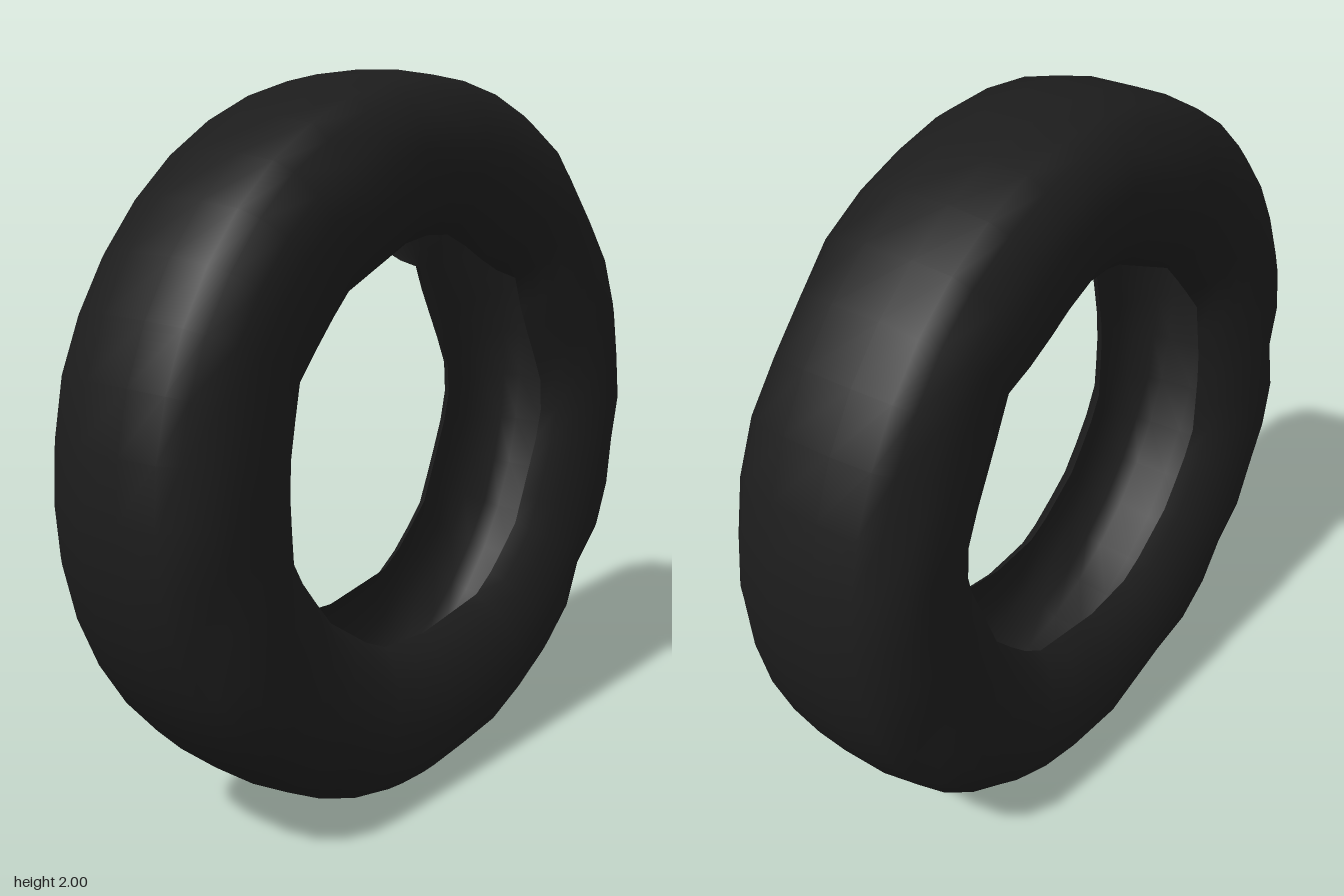
import * as THREE from 'three';
import { toCreasedNormals } from 'three/addons/utils/BufferGeometryUtils.js';

const SEGMENTS = 40;

// Uneven opening of the tyre, counter-clockwise around its axle
const OPENING = [
  [0.58, 0.02], [0.57, 0.10], [0.46, 0.31], [0.42, 0.42], [0.30, 0.46], [0.11, 0.57],
  [-0.05, 0.58], [-0.35, 0.45], [-0.43, 0.35], [-0.51, 0.28], [-0.55, 0.05], [-0.54, -0.20],
  [-0.40, -0.39], [-0.20, -0.53], [0, -0.545], [0.28, -0.50], [0.45, -0.34], [0.57, -0.05],
];

// Half cross-section from lip to tread: [share of the way from opening to tread, z]
const HALF = [
  [0, 0.175], [0.07, 0.212], [0.20, 0.247], [0.40, 0.27], [0.57, 0.272],
  [0.74, 0.262], [0.89, 0.22], [0.96, 0.175], [1, 0.07],
];

// Distance from the axle to the opening's edge in a given direction
function openingRadius(angle) {
  const dx = Math.cos(angle), dy = Math.sin(angle);
  for (let i = 0; i < OPENING.length; i++) {
    const [ax, ay] = OPENING[i];
    const [bx, by] = OPENING[(i + 1) % OPENING.length];
    const a = dx * ay - dy * ax, b = dx * by - dy * bx;
    if (a <= 0 && b > 0 && dx * ax + dy * ay > 0) {
      const t = a / (a - b);
      return Math.hypot(ax + (bx - ax) * t, ay + (by - ay) * t);
    }
  }
  return 0.57;
}

// Shallow dents worn into the shoulders
function dent(angle, side) {
  const wave = Math.sin(angle * 9 + side * 1.3) + Math.sin(angle * 14 - side * 2.1);
  return 0.008 * Math.max(0, wave);
}

// Hollow casing: a single skin from the front lip over the tread to the back lip
function casingGeometry() {
  const profile = [...HALF, ...HALF.slice().reverse().map(([t, z]) => [t, -z])];
  const count = profile.length;
  const positions = [], indices = [];
  for (let i = 0; i < SEGMENTS; i++) {
    const angle = (i / SEGMENTS) * Math.PI * 2;
    const inner = openingRadius(angle);
    const next = ((i + 1) % SEGMENTS) * count;
    profile.forEach(([t, z], j) => {
      const side = Math.sign(z);
      const worn = t > 0.7 && t < 0.9 ? dent(angle, side) : 0;
      const r = inner + (1 - inner) * t - worn;
      positions.push(Math.cos(angle) * r, 1 + Math.sin(angle) * r, z - side * worn);
      if (j === count - 1) return;
      const a = i * count + j, d = next + j;
      indices.push(a, a + 1, d + 1, a, d + 1, d);
    });
  }
  const geometry = new THREE.BufferGeometry();
  geometry.setAttribute('position', new THREE.Float32BufferAttribute(positions, 3));
  geometry.setIndex(indices);
  return toCreasedNormals(geometry, 0.9);
}

export function createModel() {
  const group = new THREE.Group();
  group.name = 'tyre';
  const rubber = new THREE.MeshStandardMaterial({ color: 0x1c1c1c, side: THREE.DoubleSide });
  rubber.name = 'black rubber';
  const casing = new THREE.Mesh(casingGeometry(), rubber);
  casing.name = 'tyreCasing';
  group.add(casing);
  return group;
}
